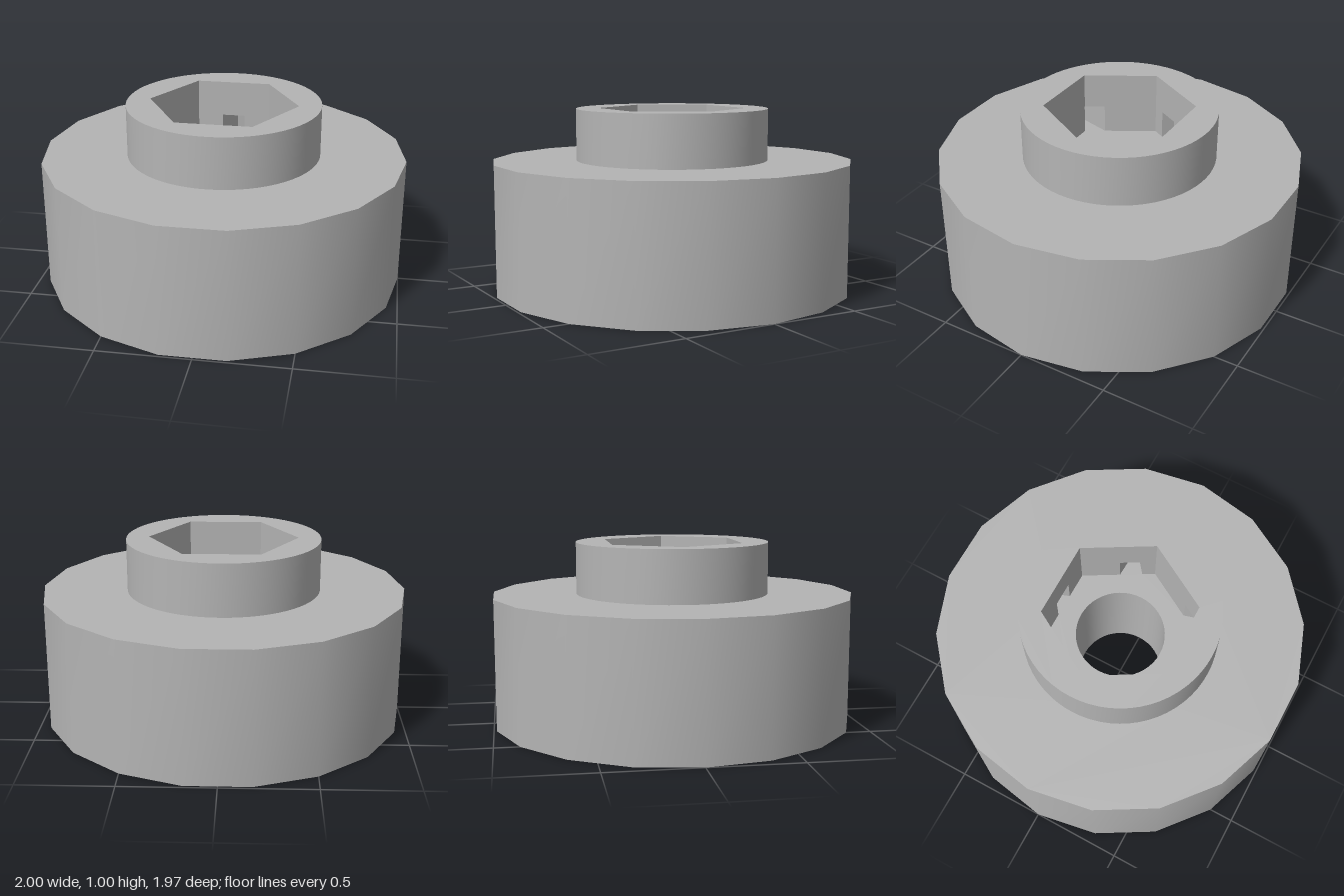
import * as THREE from 'three';
import { toCreasedNormals } from 'three/addons/utils/BufferGeometryUtils.js';

const H = { floor: 0.64, body: 0.715, notch: 0.8, top: 1 };
const DEG = Math.PI / 180;
const APOTHEM = 0.355, TIP = 0.53, HALF = 20 * DEG;

const polar = (r, a) => new THREE.Vector2(r * Math.cos(a), r * Math.sin(a));
const ngon = (r, n) => Array.from({ length: n }, (_, i) => polar(r, (i / n) * 2 * Math.PI));

// Radius of the hexagon at an angle
const hexRadius = (a) => {
  const s = 60 * DEG;
  return APOTHEM / Math.cos((((a % s) + s) % s) - s / 2);
};

// Angle from a notch axis at which its edge meets the hexagon
function crossing(axis, side) {
  let lo = 0, hi = 36 * DEG;
  for (let i = 0; i < 40; i++) {
    const d = (lo + hi) / 2;
    const edge = (TIP * Math.sin(HALF)) / Math.sin(HALF + d);
    if (edge > hexRadius(axis + side * d)) lo = d; else hi = d;
  }
  return lo;
}

// Horizontal face at height y, outline given in (x, z)
function plate(y, outer, hole, up) {
  const flip = (pts) => pts.map((p) => new THREE.Vector2(p.x, up ? -p.y : p.y));
  const shape = new THREE.Shape(flip(outer));
  if (hole) shape.holes.push(new THREE.Path(flip(hole)));
  return new THREE.ShapeGeometry(shape).rotateX(up ? -Math.PI / 2 : Math.PI / 2).translate(0, y, 0);
}

// Vertical wall around an outline, facing out or in
function wall(pts, y0, y1, inward) {
  const pos = [];
  pts.forEach((p, i) => {
    const q = pts[(i + 1) % pts.length];
    const [a, b] = inward ? [q, p] : [p, q];
    pos.push(a.x, y0, a.y, a.x, y1, a.y, b.x, y0, b.y);
    pos.push(b.x, y0, b.y, a.x, y1, a.y, b.x, y1, b.y);
  });
  const g = new THREE.BufferGeometry();
  g.setAttribute('position', new THREE.Float32BufferAttribute(pos, 3));
  return toCreasedNormals(g, 30 * DEG);
}

export function createModel() {
  const group = new THREE.Group();
  const grey = new THREE.MeshStandardMaterial({ color: 0xb4b4b4 });
  grey.name = 'grey';
  const add = (name, geometry) => {
    const mesh = new THREE.Mesh(geometry, grey);
    mesh.name = name;
    group.add(mesh);
  };

  const rim = ngon(1, 18);
  const collar = ngon(0.533, 64);
  const bore = ngon(0.245, 48);
  const hex = ngon(APOTHEM / Math.cos(30 * DEG), 6);

  // Five pointed notches cut into the socket wall
  const notches = [54, 126, 198, 270, 342].map((deg) => {
    const axis = deg * DEG;
    const before = axis - crossing(axis, -1);
    const after = axis + crossing(axis, 1);
    return {
      before, after,
      pts: [polar(hexRadius(before), before), polar(TIP, axis), polar(hexRadius(after), after)],
    };
  });

  // Socket outline: hexagon corners joined with the notches, in order of angle
  const angle = (p) => (Math.atan2(p.y, p.x) + 2 * Math.PI) % (2 * Math.PI);
  const corners = hex.filter((p) => !notches.some((n) => angle(p) > n.before && angle(p) < n.after));
  const socket = [...corners, ...notches.flatMap((n) => n.pts)].sort((p, q) => angle(p) - angle(q));

  // Wide body
  add('bodySide', wall(rim, 0, H.body, false));
  add('bodyTop', plate(H.body, rim, collar, true));
  add('bodyBottom', plate(0, rim, bore, false));

  // Raised collar
  add('collarSide', wall(collar, H.body, H.top, false));
  add('collarTop', plate(H.top, collar, hex, true));

  // Hexagonal socket with notches, and the bore through the base
  add('socketUpperWall', wall(hex, H.notch, H.top, true));
  add('socketLowerWall', wall(socket, H.floor, H.notch, true));
  add('socketFloor', plate(H.floor, socket, bore, true));
  notches.forEach((n) => add('notchCeiling', plate(H.notch, n.pts, null, false)));
  add('boreWall', wall(bore, 0, H.floor, true));

  return group;
}
